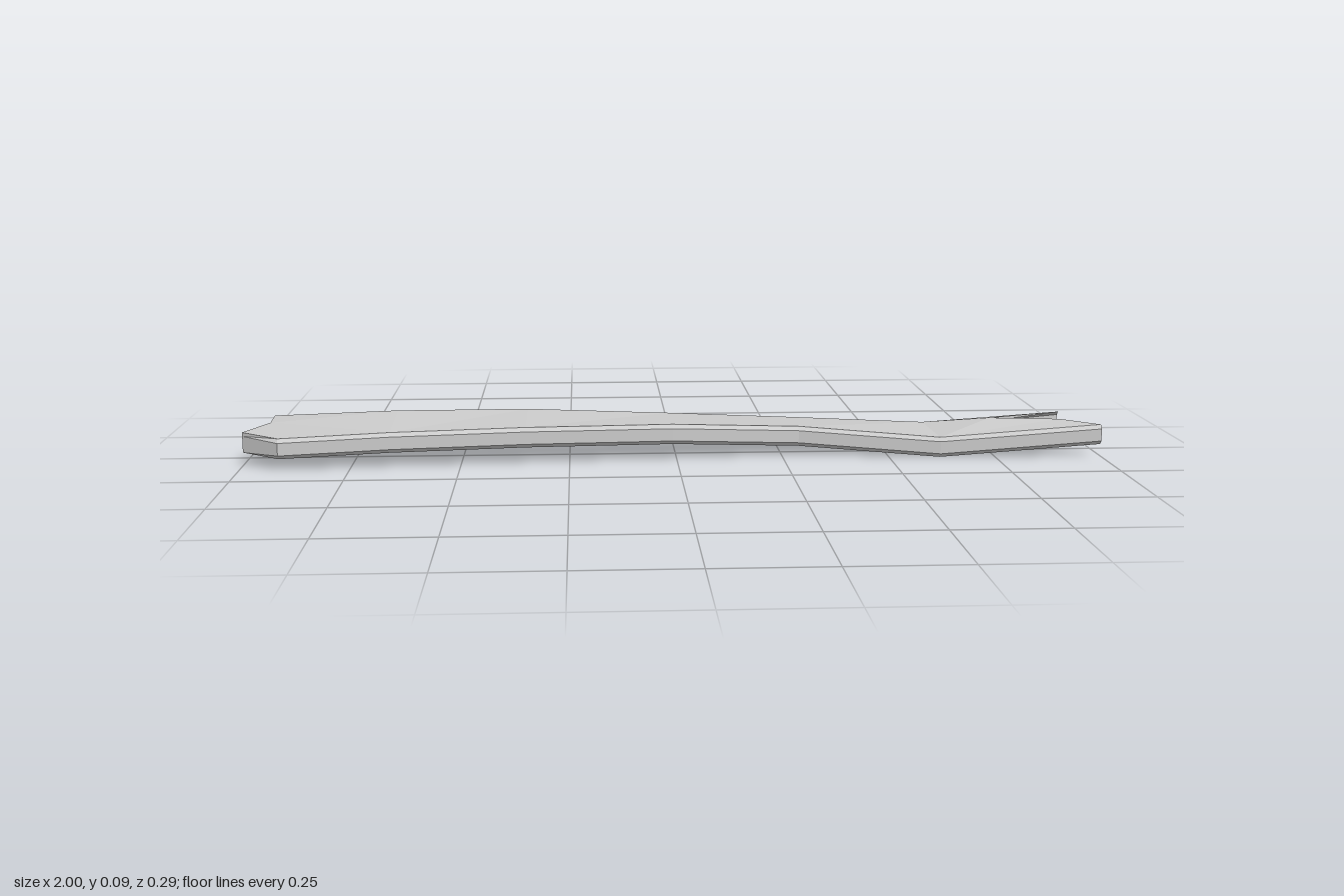
import * as THREE from 'three';

// Outline of the plank, counter-clockwise from above: x, z, underside height, bevel direction in z
const OUTLINE = [
  [-0.96, -0.134, 0.03, 1], [-0.955, -0.035, 0.03, 0], [-1, 0.08, 0.03, 0],          // ragged end
  [-0.91, 0.147, 0.026, -1], [-0.66, 0.128, 0.034, -1], [-0.35, 0.105, 0.038, -1],   // front edge
  [-0.01, 0.08, 0.037, -1], [0.29, 0.04, 0.021, -1], [0.62, 0.085, 0, -1],
  [1, 0.092, 0.028, -1], [0.92, 0.01, 0.028, 0], [0.76, -0.03, 0.025, 0], [0.94, -0.082, 0.03, 1], // split end
  [0.61, -0.106, 0.003, 1], [0.29, -0.147, 0.011, 1], [-0.01, -0.128, 0.028, 1],     // back edge
  [-0.35, -0.108, 0.045, 1], [-0.66, -0.088, 0.048, 1],
];
const THICKNESS = 0.047;
const BEVEL = 0.009;

function plankGeometry() {
  const n = OUTLINE.length;
  const positions = [];
  const index = [];

  // Four rings: bevelled bottom, lower edge, upper edge, bevelled top
  const rings = [[0, 1], [BEVEL, 0], [THICKNESS - BEVEL, 0], [THICKNESS, 1]];
  for (const [height, inset] of rings) {
    for (const [x, z, y, side] of OUTLINE) {
      // unbevelled end points sit flush with the faces
      positions.push(x, y + height, z + side * inset * BEVEL);
    }
  }

  // Side walls and bevels
  for (let r = 0; r < 3; r++) {
    for (let i = 0; i < n; i++) {
      const j = (i + 1) % n;
      const a = r * n + i, b = r * n + j;
      index.push(a, b, b + n, a, b + n, a + n);
    }
  }

  // Broad faces: ragged end, strip along the length, split end
  const cap = [[0, 1, 17], [1, 4, 17], [1, 3, 4], [1, 2, 3]];
  for (let f = 4, b = 17; f < 8; f++, b--) cap.push([f, f + 1, b - 1], [f, b - 1, b]);
  cap.push([8, 11, 13], [8, 10, 11], [8, 9, 10], [13, 11, 12]);
  for (const [a, b, c] of cap) {
    index.push(a + 3 * n, b + 3 * n, c + 3 * n);
    index.push(a, c, b);
  }

  const geometry = new THREE.BufferGeometry();
  geometry.setAttribute('position', new THREE.Float32BufferAttribute(positions, 3));
  geometry.setIndex(index);
  const faceted = geometry.toNonIndexed();
  faceted.computeVertexNormals();
  return faceted;
}

export function createModel() {
  const group = new THREE.Group();
  group.name = 'brokenPlank';
  const material = new THREE.MeshStandardMaterial({ color: 0xcccccc, flatShading: true });
  const plank = new THREE.Mesh(plankGeometry(), material);
  plank.name = 'plank';
  group.add(plank);
  return group;
}
